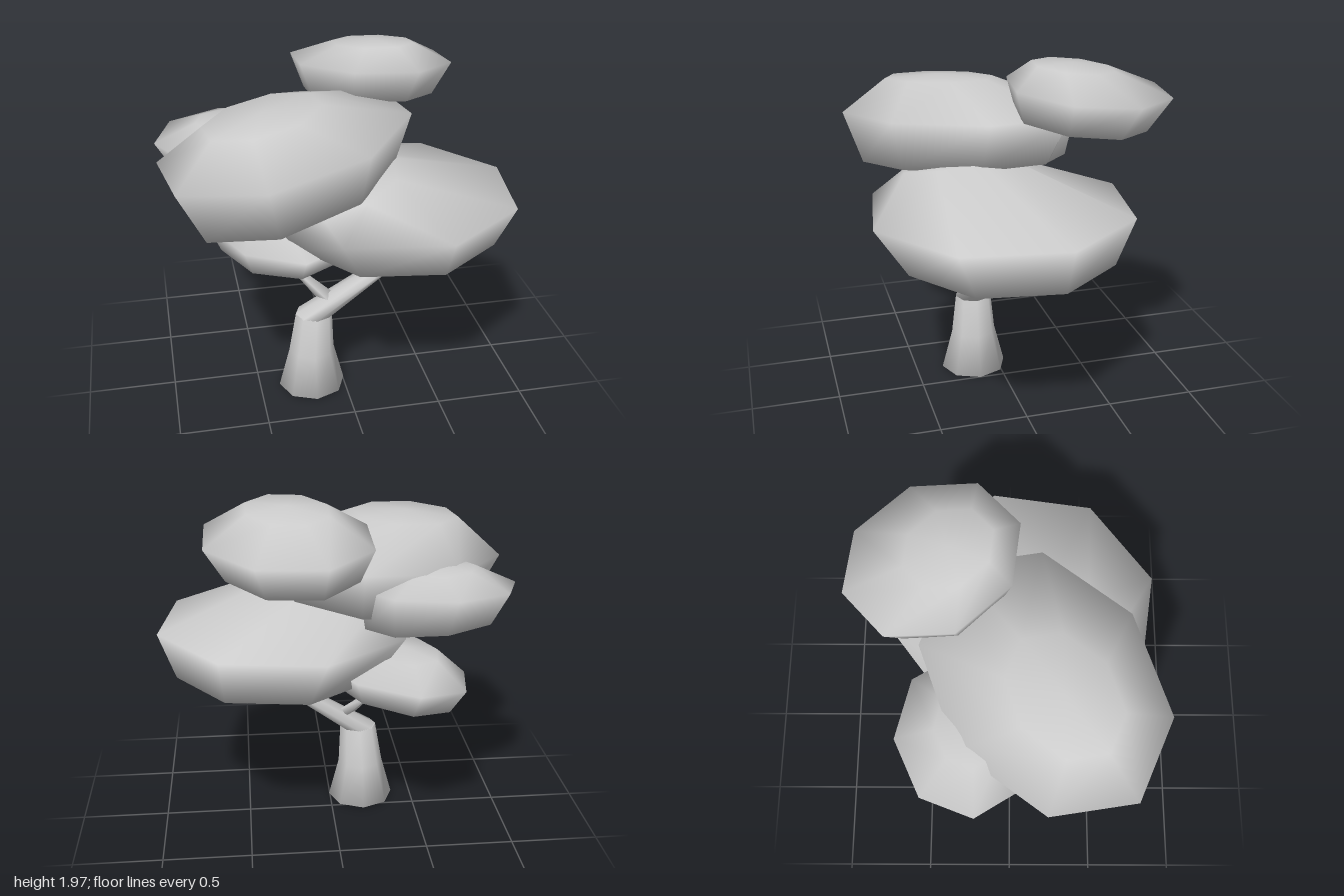
import * as THREE from 'three';

const material = new THREE.MeshStandardMaterial({ color: 0xcccccc });

// Smooth skin through rings of points, listed bottom to top, closed by two end points
function loft(name, rings, bottom, top) {
  const n = rings[0].length;
  const positions = [...rings.flat(), bottom, top].flat();
  const index = [];
  const b = rings.length * n, t = b + 1, last = (rings.length - 1) * n;
  for (let i = 0; i < n; i++) {
    const j = (i + 1) % n;
    for (let r = 0; r < rings.length - 1; r++) {
      const lo = r * n, hi = lo + n;
      index.push(lo + i, hi + i, lo + j, hi + i, hi + j, lo + j);
    }
    index.push(b, i, j, t, last + j, last + i);
  }
  const geometry = new THREE.BufferGeometry();
  geometry.setAttribute('position', new THREE.Float32BufferAttribute(positions, 3));
  geometry.setIndex(index);
  geometry.computeVertexNormals();
  const mesh = new THREE.Mesh(geometry, material);
  mesh.name = name;
  return mesh;
}

// Stretched ring: u and v are its half axes in plan, slopes tilt it along x and z
function ring([cx, cy, cz], u, v, scale = 1, slopeX = 0, slopeZ = 0, sides = 8) {
  return Array.from({ length: sides }, (_, i) => {
    const a = (i / sides) * Math.PI * 2;
    const dx = scale * (u[0] * Math.cos(a) + v[0] * Math.sin(a));
    const dz = scale * (u[1] * Math.cos(a) + v[1] * Math.sin(a));
    return [cx + dx, cy + slopeX * dx + slopeZ * dz, cz + dz];
  });
}

// Leaf cushion: bottom, widest and upper ring as [centre, scale, slopeX, slopeZ]
function cushion({ name, u, v, rings, dome }) {
  const [x, y, z] = rings[2][0];
  return loft(name, rings.map(([c, ...rest]) => ring(c, u, v, ...rest)), rings[0][0], [x, y + dome, z]);
}

// Wood piece through level rings given as [x, y, z, radius]
function stem(name, stations, sides) {
  const rings = stations.map(([x, y, z, r]) => ring([x, y, z], [r, 0], [0, r], 1, 0, 0, sides));
  return loft(name, rings, stations[0].slice(0, 3), stations.at(-1).slice(0, 3));
}

// Flat disc that keeps a cut end crisp
function cap(name, [x, y, z, r], up) {
  const mesh = new THREE.Mesh(new THREE.CircleGeometry(r, 8), material);
  mesh.rotation.x = up ? -Math.PI / 2 : Math.PI / 2;
  mesh.position.set(x, y + (up ? 0.002 : -0.002), z);
  mesh.name = name;
  return mesh;
}

const cushions = [
  {
    name: 'frontFoliage', u: [0.64, 0.38], v: [-0.38, 0.64], dome: 0.03,
    rings: [[[0.31, 0.935, 0.06], 0.8], [[0.26, 1.2, 0.09], 1], [[-0.04, 1.36, 0.27], 0.42, 0.25, -0.07]],
  },
  {
    name: 'largeFoliage', u: [0.685, -0.01], v: [-0.185, 0.65], dome: 0.02,
    rings: [[[-0.285, 1.315, 0.2], 0.82, 0.168], [[-0.315, 1.6, 0.18], 1, 0.117], [[-0.45, 1.765, 0.27], 0.46, 0.11]],
  },
  {
    name: 'topFoliage', u: [0.425, 0.23], v: [-0.175, 0.41], dome: 0.02,
    rings: [[[0.245, 1.64, -0.365], 0.8, -0.02, 0.137], [[0.265, 1.825, -0.4], 1, -0.02, 0.1], [[0.26, 1.945, -0.31], 0.5, 0, 0.12]],
  },
  {
    name: 'backFoliage', u: [-0.44, 0.04], v: [-0.04, -0.37], dome: 0.02,
    rings: [[[-0.53, 1.28, -0.22], 0.84, -0.08, -0.08], [[-0.56, 1.48, -0.22], 1, 0, -0.08], [[-0.55, 1.58, -0.2], 0.5]],
  },
  {
    name: 'lowFoliage', u: [0.41, 0.05], v: [0.08, 0.51], dome: 0.02,
    rings: [[[-0.33, 0.825, -0.1], 0.82, 0.1, -0.05], [[-0.33, 0.97, -0.13], 1, 0.07, -0.08], [[-0.38, 1.08, -0.13], 0.5]],
  },
];

export function createModel() {
  const tree = new THREE.Group();
  tree.name = 'tree';

  // Trunk and the limb that leans out of it
  const foot = [-0.19, 0.002, 0.145, 0.195], neck = [-0.172, 0.48, 0.145, 0.107];
  tree.add(
    stem('trunk', [foot, [-0.188, 0.24, 0.143, 0.133], neck], 8),
    cap('trunkBase', foot, false),
    cap('trunkTop', neck, true),
    stem('limb', [neck, [0.17, 0.705, 0.142, 0.075], [0.31, 0.95, 0.145, 0.045]], 8),
  );

  // Thin side twigs
  tree.add(
    stem('leftTwig', [[-0.1, 0.58, 0.13, 0.06], [-0.235, 0.71, 0.08, 0.032], [-0.262, 0.87, 0.0, 0.008]], 4),
    stem('rightTwig', [[0.11, 0.69, 0.1, 0.04], [-0.01, 0.94, -0.09, 0.01]], 4),
  );

  // Foliage
  for (const spec of cushions) tree.add(cushion(spec));
  return tree;
}
